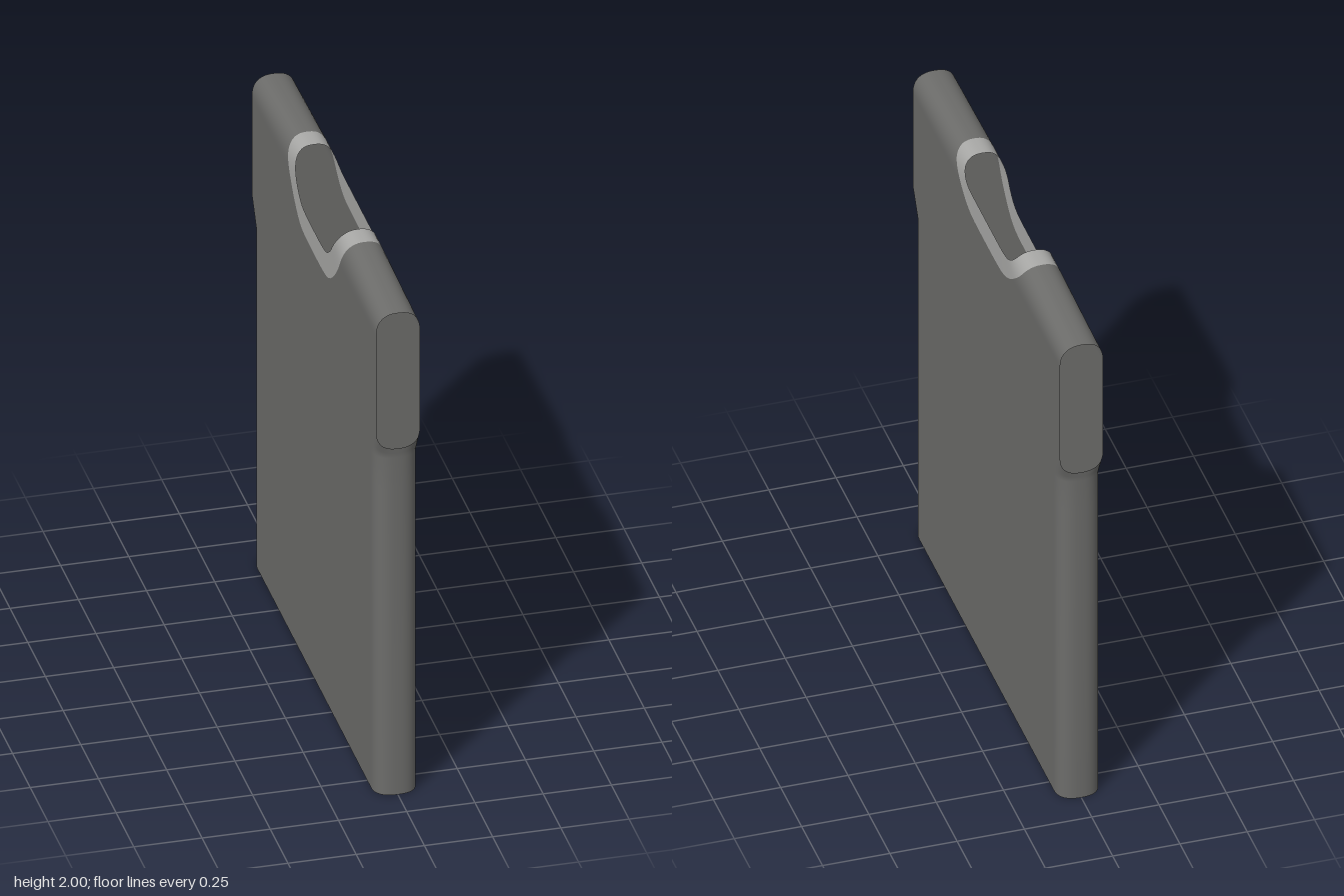
import * as THREE from 'three';

const HALF_X = 0.08;     // half thickness of the garment
const SLEEVE_Z = 0.88;   // plane of the arm openings
const SIDE_Z = 0.8;      // where the flat panels turn into the rounded sides
const SHOULDER_Y = 1.89; // where the flat panels turn into the rounded shoulders
const CROWN = 0.11;      // height of the shoulder rounding
const STEPS = 32;

const fabric = new THREE.MeshStandardMaterial({ color: 0x6c6c6a, side: THREE.DoubleSide });
fabric.name = 'grey fabric';
const trim = new THREE.MeshStandardMaterial({ color: 0xa8a8a6, side: THREE.DoubleSide });
trim.name = 'light trim';

// Surface through rows of points
function loft(rows, flip) {
  const n = rows[0].length, index = [];
  for (let i = 0; i < rows.length - 1; i++) {
    for (let j = 0; j < n - 1; j++) {
      const a = i * n + j, b = a + 1, c = a + n, d = c + 1;
      if (flip) index.push(a, c, b, b, c, d);
      else index.push(a, b, c, b, d, c);
    }
  }
  const geometry = new THREE.BufferGeometry().setFromPoints(rows.flat());
  geometry.setIndex(index);
  geometry.computeVertexNormals();
  return geometry;
}

// Half thickness at a height: full below the shoulder, rounding to zero at the crown
function thickness(y) {
  const t = THREE.MathUtils.clamp((y - SHOULDER_Y) / CROWN, 0, 1);
  return HALF_X * Math.pow(1 - Math.pow(t, 2.5), 0.4);
}

// Smooth neck curve from the centre up to the shoulder crown, given as (z, y)
function neckCurve(points, side) {
  const curve = new THREE.SplineCurve(points.map(([z, y]) => new THREE.Vector2(z, y)));
  return Array.from({ length: STEPS + 1 }, (_, i) => {
    const p = curve.getPoint(1 - Math.pow(1 - i / STEPS, 2));
    const y = Math.min(p.y, 2);
    return new THREE.Vector3(side * thickness(y), y, p.x);
  });
}

const mirrorZ = (p) => new THREE.Vector3(p.x, p.y, -p.z);

// Lower neckline on the -x panel, higher neckline on the +x panel
const necks = [
  {
    side: -1, name: 'lowNeckPanel',
    outer: neckCurve([[0, 1.735], [0.12, 1.737], [0.2, 1.75], [0.27, 1.795], [0.335, 1.86], [0.38, 1.93], [0.4, 1.98], [0.405, 2]], -1),
    inner: neckCurve([[0, 1.83], [0.1, 1.831], [0.17, 1.84], [0.22, 1.87], [0.26, 1.915], [0.29, 1.955], [0.307, 1.985], [0.31, 2]], -1),
  },
  {
    side: 1, name: 'highNeckPanel',
    outer: neckCurve([[0, 1.83], [0.12, 1.831], [0.2, 1.838], [0.27, 1.865], [0.335, 1.91], [0.38, 1.95], [0.4, 1.985], [0.405, 2]], 1),
    inner: neckCurve([[0, 1.925], [0.1, 1.925], [0.19, 1.926], [0.24, 1.932], [0.27, 1.945], [0.295, 1.965], [0.307, 1.988], [0.31, 2]], 1),
  },
];

// Arm opening edge that belongs to a point of the neck edge
const armPoint = (p) => new THREE.Vector3(p.x, SHOULDER_Y + (p.y - SHOULDER_Y) * 0.76, SLEEVE_Z);

export function createModel() {
  const group = new THREE.Group();
  const add = (name, geometry, material) => {
    const mesh = new THREE.Mesh(geometry, material);
    mesh.name = name;
    group.add(mesh);
  };

  // Flat panels with the neck cut out
  for (const neck of necks) {
    neck.split = neck.outer.findLastIndex((p) => p.y <= SHOULDER_Y);
    const cut = neck.outer.slice(0, neck.split + 1);
    const half = [
      ...cut.map((p) => [p.z, p.y]),
      [SLEEVE_Z, armPoint(cut[cut.length - 1]).y],
      [SLEEVE_Z, 1.5], [SIDE_Z, 1.38], [SIDE_Z, 0],
    ];
    const outline = [...half, ...half.slice(1).reverse().map(([z, y]) => [-z, y])];
    const shape = new THREE.Shape(outline.map(([z, y]) => new THREE.Vector2(z, y)));
    const geometry = new THREE.ShapeGeometry(shape);
    geometry.rotateY(neck.side * Math.PI / 2);
    geometry.translate(neck.side * HALF_X, 0, 0);
    add(neck.name, geometry, fabric);
  }

  // Rounded sides, running up into the lower edge of the arm openings
  const arc = Array.from({ length: 25 }, (_, i) => {
    const a = Math.PI * (1 - i / 24), c = Math.cos(a), s = Math.max(Math.sin(a), 0);
    return [HALF_X * Math.sign(c) * Math.pow(Math.abs(c), 0.8), Math.pow(s, 0.8)];
  });
  const sideRow = (y) => arc.map(([x, s]) => new THREE.Vector3(x, y, SIDE_Z + 0.075 * s));
  const armRow = arc.map(([x, s]) => new THREE.Vector3(x, 1.5 - 0.08 * s, SLEEVE_Z));
  const bodyRow = sideRow(1.38);
  const midRow = bodyRow.map((p, i) => p.clone().lerp(armRow[i], 0.5));
  const sideRows = [sideRow(0), sideRow(1.25), bodyRow, midRow, armRow];

  // Rounded shoulders, from the collar to the arm openings
  const [low, high] = necks;
  const neckEdge = [
    ...low.outer.slice(low.split),
    ...high.outer.slice(high.split).reverse().slice(1),
  ];
  const shoulderRows = [0, 0.5, 1].map((t) => neckEdge.map((p) => p.clone().lerp(armPoint(p), t)));

  for (const [name, k] of [['front', 1], ['back', -1]]) {
    const place = (rows) => (k > 0 ? rows : rows.map((row) => row.map(mirrorZ)));
    add(name + 'Side', loft(place(sideRows), k < 0), fabric);
    add(name + 'Shoulder', loft(place(shoulderRows), k > 0), fabric);
  }

  // Collar band, a closed ribbon around the neck
  const ring = (key) => {
    const a = low[key], b = high[key];
    return [
      ...a.map(mirrorZ).reverse(), ...a.slice(1),
      ...[...b].reverse().slice(1), ...b.map(mirrorZ).slice(1),
    ];
  };
  add('collar', loft([ring('outer'), ring('inner')], false), trim);

  return group;
}
